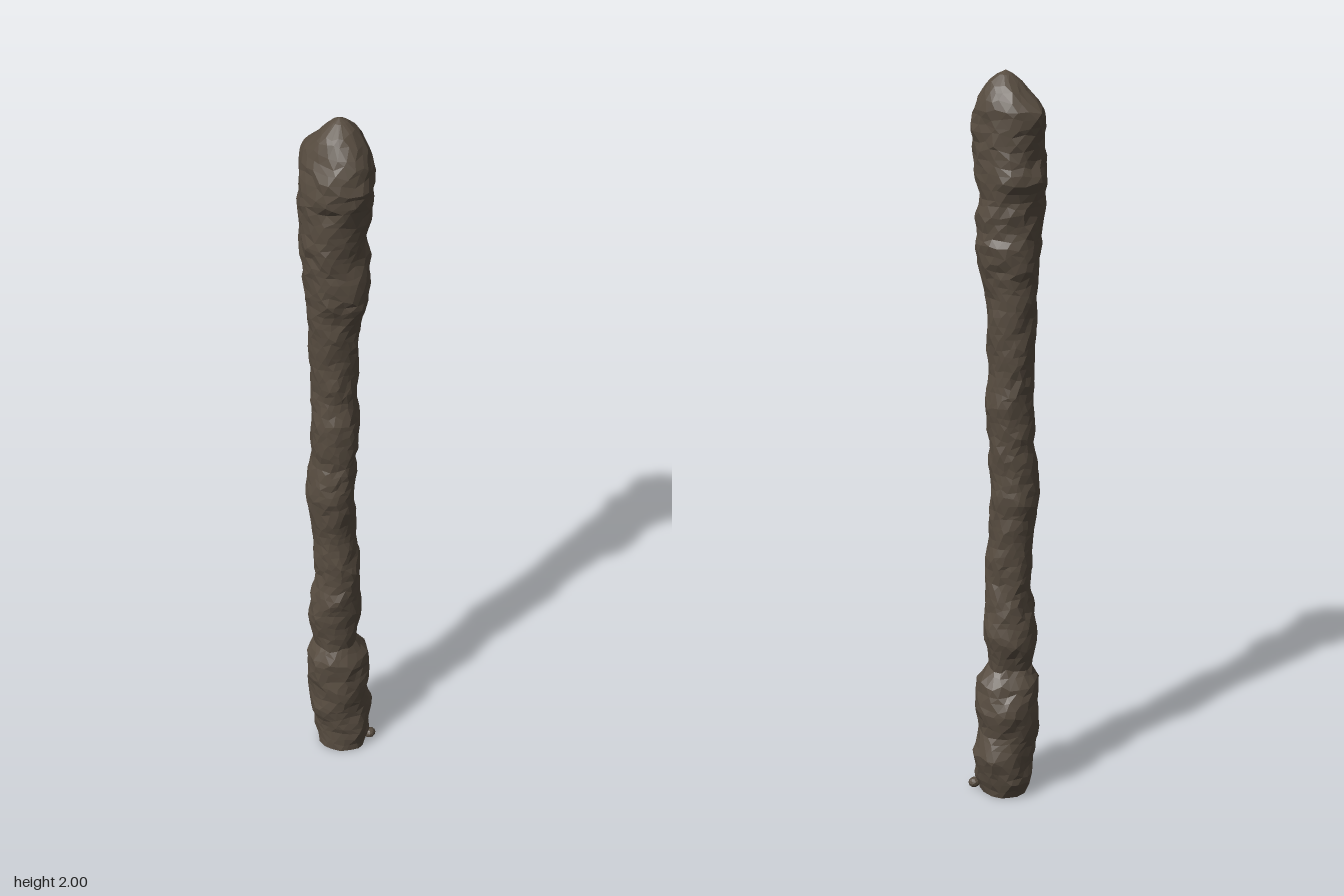
import * as THREE from 'three';

const SIDES = 20, RINGS = 96;

// Outline stations: height, then the extents along x and along z
const X_SPAN = [
  [0, -.06, .07], [.05, -.065, .08], [.12, -.08, .104], [.19, -.082, .08], [.25, -.092, .09],
  [.33, -.09, .08], [.37, -.07, .045], [.48, -.09, .065], [.55, -.085, .06], [.6, -.07, .05],
  [.7, -.07, .05], [.82, -.08, .042], [.89, -.095, .045], [1, -.075, .045], [1.12, -.076, .057],
  [1.2, -.07, .045], [1.3, -.07, .05], [1.4, -.08, .052], [1.48, -.086, .066], [1.55, -.095, .08],
  [1.65, -.1, .068], [1.73, -.1, .075], [1.8, -.104, .074], [1.87, -.098, .074], [1.93, -.08, .066],
  [1.97, -.052, .045], [1.99, -.022, .02],
];
const Z_SPAN = [
  [0, -.07, .085], [.05, -.088, .085], [.15, -.08, .08], [.23, -.1, .086], [.33, -.082, .08],
  [.37, -.06, .056], [.45, -.082, .066], [.55, -.066, .066], [.65, -.06, .068], [.75, -.065, .055],
  [.85, -.082, .06], [1, -.07, .06], [1.1, -.07, .066], [1.2, -.07, .055], [1.35, -.082, .06],
  [1.45, -.08, .07], [1.5, -.087, .088], [1.58, -.084, .094], [1.65, -.092, .08], [1.73, -.11, .085],
  [1.8, -.1, .104], [1.85, -.106, .114], [1.9, -.11, .1], [1.93, -.082, .08], [1.97, -.04, .053],
  [1.99, -.018, .024],
];

function spanAt(table, y) {
  let i = 1;
  while (i < table.length - 1 && table[i][0] < y) i++;
  const [a, b] = [table[i - 1], table[i]];
  const t = THREE.MathUtils.clamp((y - a[0]) / (b[0] - a[0]), 0, 1);
  return [a[1] + (b[1] - a[1]) * t, a[2] + (b[2] - a[2]) * t];
}

// Repeatable value in 0..1 for a lattice point
function hash(x, y, z) {
  let h = Math.imul(x, 374761393) ^ Math.imul(y, 668265263) ^ Math.imul(z, 1274126177);
  h = Math.imul(h ^ (h >>> 13), 1103515245);
  return ((h ^ (h >>> 16)) >>> 0) / 4294967296;
}

// Smooth lumps interpolated between lattice points, -1..1
function lumps(x, y, z) {
  const [ix, iy, iz] = [x, y, z].map(Math.floor);
  const [u, v, w] = [x - ix, y - iy, z - iz].map((t) => t * t * (3 - 2 * t));
  let sum = 0;
  for (let k = 0; k < 8; k++) {
    const a = k & 1, b = (k >> 1) & 1, c = k >> 2;
    sum += hash(ix + a, iy + b, iz + c) * (a ? u : 1 - u) * (b ? v : 1 - v) * (c ? w : 1 - w);
  }
  return sum * 2 - 1;
}

// Lumpy rock column made from stacked cross-sections, capped at both ends
function columnGeometry() {
  const positions = [], index = [];
  for (let r = 0; r <= RINGS; r++) {
    const level = 1.99 * r / RINGS;
    const ends = r === 0 || r === RINGS;
    for (let s = 0; s < SIDES; s++) {
      const y = level + (ends ? 0 : (hash(s, r, 7) - 0.5) * 0.014);
      const angle = (s + (r % 2) / 2 + (hash(s, r, 3) - 0.5) * 0.5) / SIDES * Math.PI * 2;
      const [x0, x1] = spanAt(X_SPAN, y), [z0, z1] = spanAt(Z_SPAN, y);
      const c = Math.cos(angle), d = Math.sin(angle);
      const bump = 0.98 + 0.09 * lumps(c * 1.7 + 9, y * 22, d * 1.7 + 9)
        + 0.06 * lumps(c * 3.5 + 30, y * 45, d * 3.5 + 30);
      positions.push((x0 + x1) / 2 + (x1 - x0) / 2 * c * bump, y, (z0 + z1) / 2 + (z1 - z0) / 2 * d * bump);
    }
  }
  for (let r = 0; r < RINGS; r++) {
    for (let s = 0; s < SIDES; s++) {
      const n = (s + 1) % SIDES;
      const a = r * SIDES + s, b = r * SIDES + n, c = a + SIDES, d = b + SIDES;
      if (r % 2) index.push(a, c, d, a, d, b);
      else index.push(a, c, b, b, c, d);
    }
  }
  // Flat foot and blunt tip
  const foot = positions.length / 3, tip = foot + 1, last = RINGS * SIDES;
  positions.push(0, 0, 0, -0.002, 2, 0.002);
  for (let s = 0; s < SIDES; s++) {
    const n = (s + 1) % SIDES;
    index.push(foot, s, n, tip, last + n, last + s);
  }
  const geometry = new THREE.BufferGeometry();
  geometry.setAttribute('position', new THREE.Float32BufferAttribute(positions, 3));
  geometry.setIndex(index);
  const flat = geometry.toNonIndexed();
  flat.computeVertexNormals();
  return flat;
}

export function createModel() {
  const group = new THREE.Group();
  group.name = 'rockColumn';
  const rock = new THREE.MeshStandardMaterial({ color: 0x574c40, flatShading: true });
  rock.name = 'dark brown rock';

  const column = new THREE.Mesh(columnGeometry(), rock);
  column.name = 'column';
  group.add(column);

  // Small pebble at the foot
  const pebble = new THREE.Mesh(new THREE.IcosahedronGeometry(0.016, 1), rock);
  pebble.name = 'footPebble';
  pebble.scale.set(1.1, 0.9, 1);
  pebble.position.set(0.062, 0.016, 0.062);
  group.add(pebble);
  return group;
}
